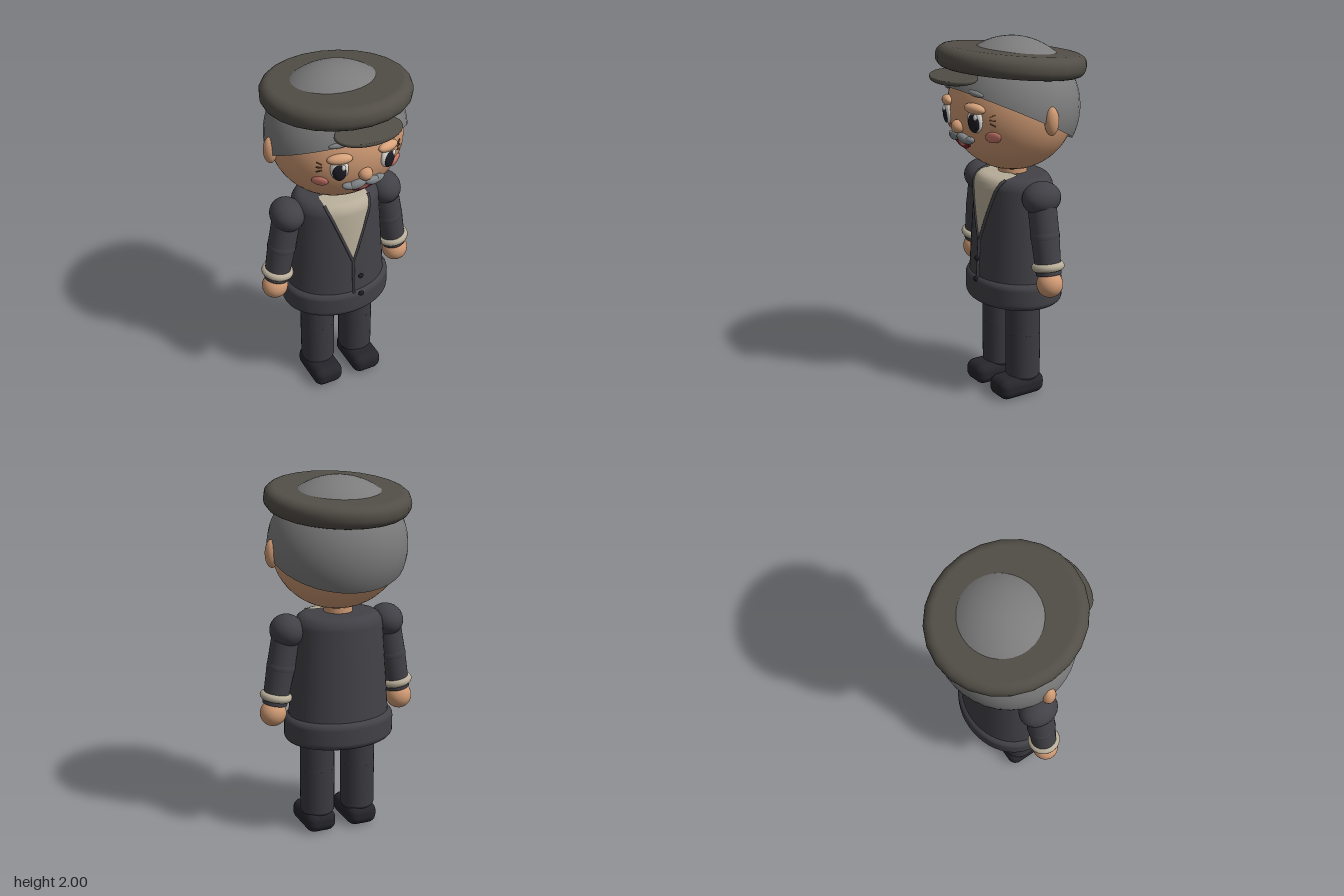
import * as THREE from 'three';
import { RoundedBoxGeometry } from 'three/addons/geometries/RoundedBoxGeometry.js';

const mat = (color, side = THREE.FrontSide) =>
  new THREE.MeshStandardMaterial({ color, roughness: 0.8, side });
const skin = mat(0xcf9a74), lidSkin = mat(0xd8a37b), hairGrey = mat(0x7c7c7c, THREE.DoubleSide);
const browGrey = mat(0x7f8486), capCloth = mat(0x524e47), cloth = mat(0x424147), trouser = mat(0x3a3a40);
const shoe = mat(0x25252b), cream = mat(0xb8ae9a, THREE.DoubleSide), dark = mat(0x1c1c24);
const white = mat(0xe6e4de), pink = mat(0xcc7a6c), red = mat(0x7a2430), brown = mat(0x6b4530);

export function createModel() {
  const model = new THREE.Group();
  const add = (name, geo, material, x = 0, y = 0, z = 0, parent = model) => {
    const m = new THREE.Mesh(geo, material);
    m.name = name;
    m.position.set(x, y, z);
    parent.add(m);
    return m;
  };
  const ball = (rx, ry, rz, w = 24, h = 16) => new THREE.SphereGeometry(1, w, h).scale(rx, ry, rz);
  const lathe = (pts, seg) => new THREE.LatheGeometry(pts.map(p => new THREE.Vector2(...p)), seg);

  // Rounded slab profile from the axis at the bottom to the axis at the top
  const slab = (r, h, c) => {
    const pts = [[0, -h]];
    for (let i = 0; i <= 6; i++) {
      const a = -Math.PI / 2 + i * Math.PI / 12;
      pts.push([r - c + c * Math.cos(a), -h + c + c * Math.sin(a)]);
    }
    for (let i = 0; i <= 6; i++) {
      const a = i * Math.PI / 12;
      pts.push([r - c + c * Math.cos(a), h - c + c * Math.sin(a)]);
    }
    pts.push([0, h]);
    return pts;
  };

  // Head, neck, ears and tilted hair shell
  const HX = 0.36, HY = 0.345, HZ = 0.335, CY = 1.63, CZ = -0.02;
  add('head', ball(HX, HY, HZ, 40, 28), skin, 0, CY, CZ);
  add('neck', new THREE.CylinderGeometry(0.08, 0.08, 0.12, 24), skin, 0, 1.28, -0.03);
  const hair = new THREE.SphereGeometry(1, 40, 20, 0, Math.PI * 2, 0, 1.69);
  add('hair', hair.rotateX(-0.445).scale(0.38, 0.37, 0.36), hairGrey, 0, 1.63, -0.025);

  // Flat cap and visor
  const cap = add('cap', lathe(slab(0.39, 0.06, 0.053), 24), capCloth, 0, 1.872, -0.022);
  cap.scale.z = 1.05;
  cap.rotation.x = -0.105;
  const visor = add('visor', lathe(slab(0.185, 0.011, 0.01), 32), capCloth, 0, 1.818, 0.335);
  visor.scale.z = 0.54;
  visor.rotation.x = 0.17;

  // Places a mesh on the face, turned to follow its surface
  const onFace = (name, geo, material, x, y, lift = 0, roll = 0) => {
    const u = x / HX, v = (y - CY) / HY, w = Math.sqrt(1 - u * u - v * v);
    const n = new THREE.Vector3(u / HX, v / HY, w / HZ).normalize();
    const m = add(name, geo, material, x, y, CZ + HZ * w);
    m.position.addScaledVector(n, lift);
    m.quaternion.setFromUnitVectors(new THREE.Vector3(0, 0, 1), n);
    m.rotateZ(roll);
    return m;
  };

  for (const s of [1, -1]) {
    const side = s > 0 ? 'left' : 'right';
    add(side + 'Ear', ball(0.037, 0.076, 0.038), skin, s * 0.373, 1.61, -0.025);
    onFace(side + 'Eye', ball(0.047, 0.068, 0.022), white, s * 0.137, 1.61);
    onFace(side + 'Pupil', ball(0.035, 0.05, 0.014), dark, s * 0.137, 1.597, 0.015);
    onFace(side + 'EyeHighlight', ball(0.011, 0.016, 0.007), white, s * 0.137 + 0.017, 1.63, 0.025);
    onFace(side + 'Eyelid', ball(0.066, 0.028, 0.03), lidSkin, s * 0.135, 1.669, 0.004, -s * 0.05);
    onFace(side + 'Eyebrow', ball(0.052, 0.015, 0.014), browGrey, s * 0.133, 1.742, 0.015, -s * 0.08);
    onFace(side + 'Cheek', ball(0.044, 0.032, 0.012), pink, s * 0.216, 1.527, 0.002);
    onFace(side + 'MoustacheInner', ball(0.05, 0.025, 0.024), browGrey, s * 0.042, 1.502, 0.014, -s * 0.3);
    onFace(side + 'MoustacheTip', ball(0.04, 0.02, 0.02), browGrey, s * 0.078, 1.497, 0.014, s * 0.15);
    // Creases beside the eye
    for (const k of [-1, 0, 1])
      onFace(side + 'EyeCrease', new THREE.BoxGeometry(0.032, 0.006, 0.006), brown,
        s * 0.226, 1.617 + k * 0.023, 0.001, s * k * 0.45);
  }
  add('nose', ball(0.038, 0.036, 0.036), skin, 0, 1.555, 0.312);

  // Open smiling mouth
  const smile = (w, h) => {
    const shape = new THREE.Shape();
    shape.moveTo(-w, 0);
    shape.absellipse(0, 0, w, h, Math.PI, Math.PI * 2);
    shape.closePath();
    return new THREE.ExtrudeGeometry(shape, { depth: 0.014, bevelEnabled: false, curveSegments: 20 });
  };
  onFace('mouth', smile(0.068, 0.05), red, 0, 1.482, -0.002);
  onFace('tongue', smile(0.034, 0.026), pink, 0, 1.477, 0.001);

  // Jacket body: elliptical, tapering up to a rounded top
  const bodyR = y => {
    const r = 0.228 - 0.028 * (y - 0.7) / 0.5;
    const t = Math.min(1, Math.max(0, (y - 1.2) / 0.066));
    return r - 0.05 * (1 - Math.sqrt(1 - t * t));
  };
  const bodyZ = (x, y) => -0.035 + Math.sqrt(Math.max(0, bodyR(y) ** 2 - (x / 1.24) ** 2));
  const bodyPts = [0.66, 0.7, 0.95, 1.2, 1.22, 1.24, 1.253, 1.261, 1.266].map(y => [bodyR(y), y]);
  add('jacketBody', lathe([...bodyPts, [0, 1.268]], 48).scale(1.24, 1, 1), cloth, 0, 0, -0.035);
  add('jacketHem', lathe(slab(0.249, 0.08, 0.04), 48).scale(1.245, 1, 1), cloth, 0, 0.623, -0.037);

  // Shirt front: V panel following the chest and folding over the top
  const rows = [0.91, 1.0, 1.1, 1.2, 1.225, 1.245, 1.258, 1.266, 1.273], cols = 8;
  const pos = [], idx = [];
  rows.forEach((y, j) => {
    const half = 0.13 * Math.min(1, (y - 0.905) / 0.345);
    for (let i = 0; i <= cols; i++) {
      const x = half * (2 * i / cols - 1);
      pos.push(x, y, j === rows.length - 1 ? 0.02 : bodyZ(x, y) + 0.007);
      if (j && i) {
        const a = (j - 1) * (cols + 1) + i - 1, b = a + cols + 1;
        idx.push(a, a + 1, b + 1, a, b + 1, b);
      }
    }
  });
  const shirt = new THREE.BufferGeometry();
  shirt.setAttribute('position', new THREE.Float32BufferAttribute(pos, 3));
  shirt.setIndex(idx);
  shirt.computeVertexNormals();
  add('shirtFront', shirt, cream);

  // Lapel edges, front closure and buttons
  const trim = (name, pts) => add(name, new THREE.TubeGeometry(new THREE.CatmullRomCurve3(
    pts.map(([x, y]) => new THREE.Vector3(x, y, bodyZ(x, y) + 0.006))), 24, 0.008, 8), cloth);
  for (const s of [1, -1])
    trim('lapelEdge', [0.91, 1.0, 1.1, 1.2, 1.235, 1.26].map(y => [s * 0.13 * Math.min(1, (y - 0.9) / 0.35), y]));
  trim('frontClosure', [[0, 0.915], [0, 0.8], [0, 0.69]]);
  add('button', ball(0.016, 0.016, 0.01), dark, 0.03, 0.815, 0.221);
  add('button', ball(0.016, 0.016, 0.01), dark, 0.03, 0.698, 0.23);

  for (const s of [1, -1]) {
    const side = s > 0 ? 'left' : 'right';

    // Arm hangs from the shoulder, swung slightly outward
    const arm = new THREE.Group();
    arm.name = side + 'Arm';
    arm.position.set(s * 0.293, 1.182, -0.02);
    arm.rotation.z = s * 0.185;
    model.add(arm);
    const part = (name, geo, m, y) => add(name, geo, m, 0, y, 0, arm);
    part('shoulder', ball(0.092, 0.09, 0.11), cloth, 0);
    part('upperSleeve', new THREE.CylinderGeometry(0.077, 0.077, 0.2, 28), cloth, -0.12);
    part('elbow', ball(0.079, 0.079, 0.079), cloth, -0.2);
    part('lowerSleeve', new THREE.CylinderGeometry(0.077, 0.068, 0.21, 28), cloth, -0.305);
    part('cuff', new THREE.TorusGeometry(0.066, 0.023, 12, 32).rotateX(Math.PI / 2), cream, -0.367);
    part('hand', ball(0.073, 0.073, 0.071), skin, -0.463);

    // Leg in two overlapping sections, with a rounded shoe
    add(side + 'Thigh', new THREE.CylinderGeometry(0.096, 0.096, 0.24, 32), trouser, s * 0.122, 0.48, -0.02);
    add(side + 'Knee', ball(0.097, 0.097, 0.097), trouser, s * 0.122, 0.37, -0.02);
    add(side + 'Shin', new THREE.CylinderGeometry(0.097, 0.096, 0.25, 32), trouser, s * 0.122, 0.245, -0.02);
    add(side + 'Ankle', ball(0.096, 0.05, 0.096), trouser, s * 0.122, 0.125, -0.02);
    add(side + 'Shoe', new RoundedBoxGeometry(0.175, 0.12, 0.285, 5, 0.05), shoe, s * 0.125, 0.062, 0.022);
  }
  return model;
}
